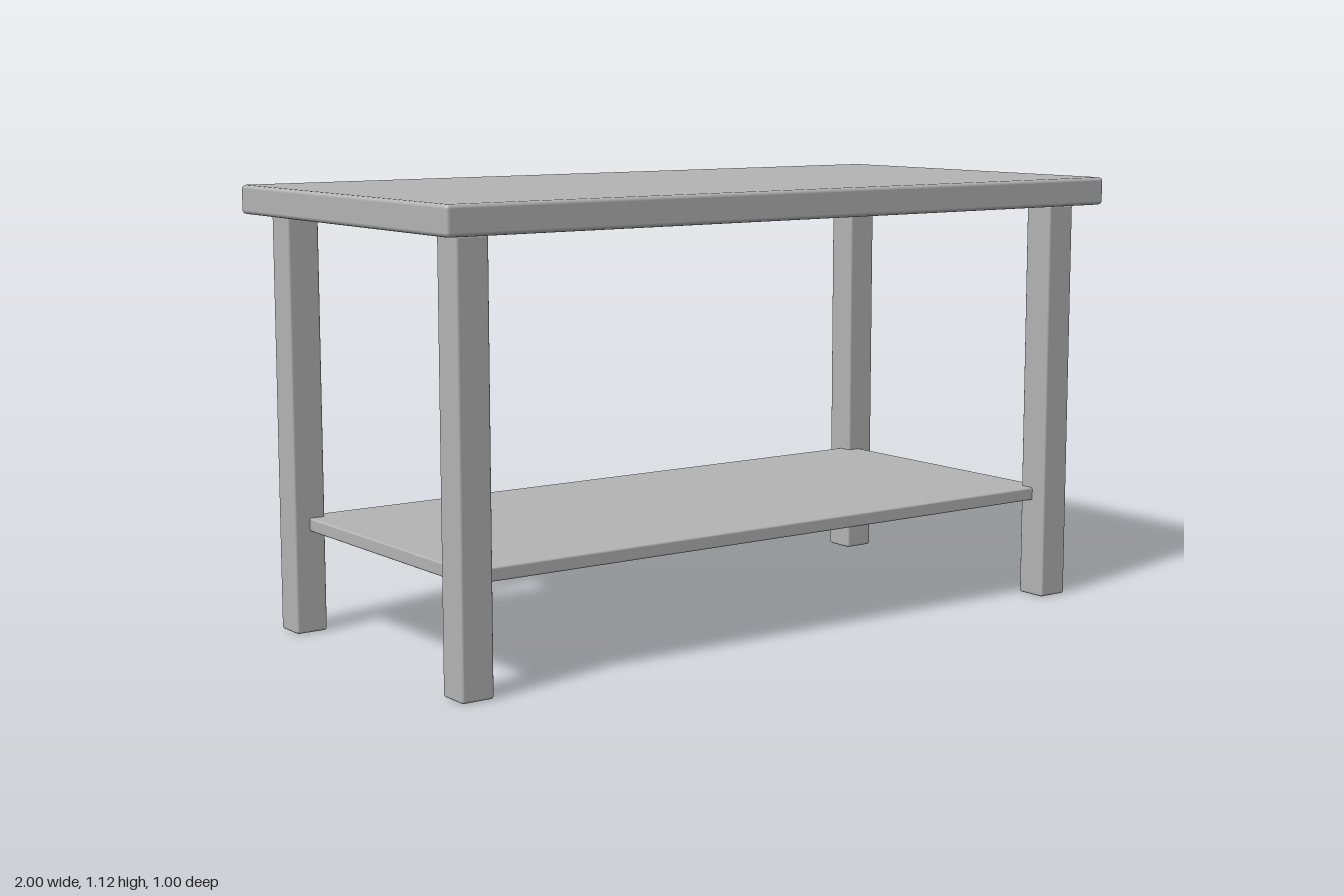
import * as THREE from 'three';
import { RoundedBoxGeometry } from 'three/addons/geometries/RoundedBoxGeometry.js';

export function createModel() {
  const table = new THREE.Group();
  table.name = 'table';

  const grey = new THREE.MeshStandardMaterial({ color: 0xb4b4b4 });
  grey.name = 'grey';

  // Box with softened edges, placed by its underside
  function slab(name, width, height, depth, x, bottom, z, radius) {
    const mesh = new THREE.Mesh(new RoundedBoxGeometry(width, height, depth, 2, radius), grey);
    mesh.name = name;
    mesh.position.set(x, bottom + height / 2, z);
    table.add(mesh);
  }

  // Top board
  slab('tableTop', 2, 0.072, 1, 0, 1.051, 0, 0.01);

  // Lower shelf, its corners let into the legs
  slab('lowerShelf', 1.804, 0.034, 0.804, 0, 0.259, 0, 0.005);

  // Four square legs
  for (const [side, sx] of [['Left', 1], ['Right', -1]]) {
    for (const [end, sz] of [['front', 1], ['back', -1]]) {
      slab(`${end}${side}Leg`, 0.085, 1.051, 0.085, sx * 0.902, 0, sz * 0.402, 0.007);
    }
  }

  return table;
}
